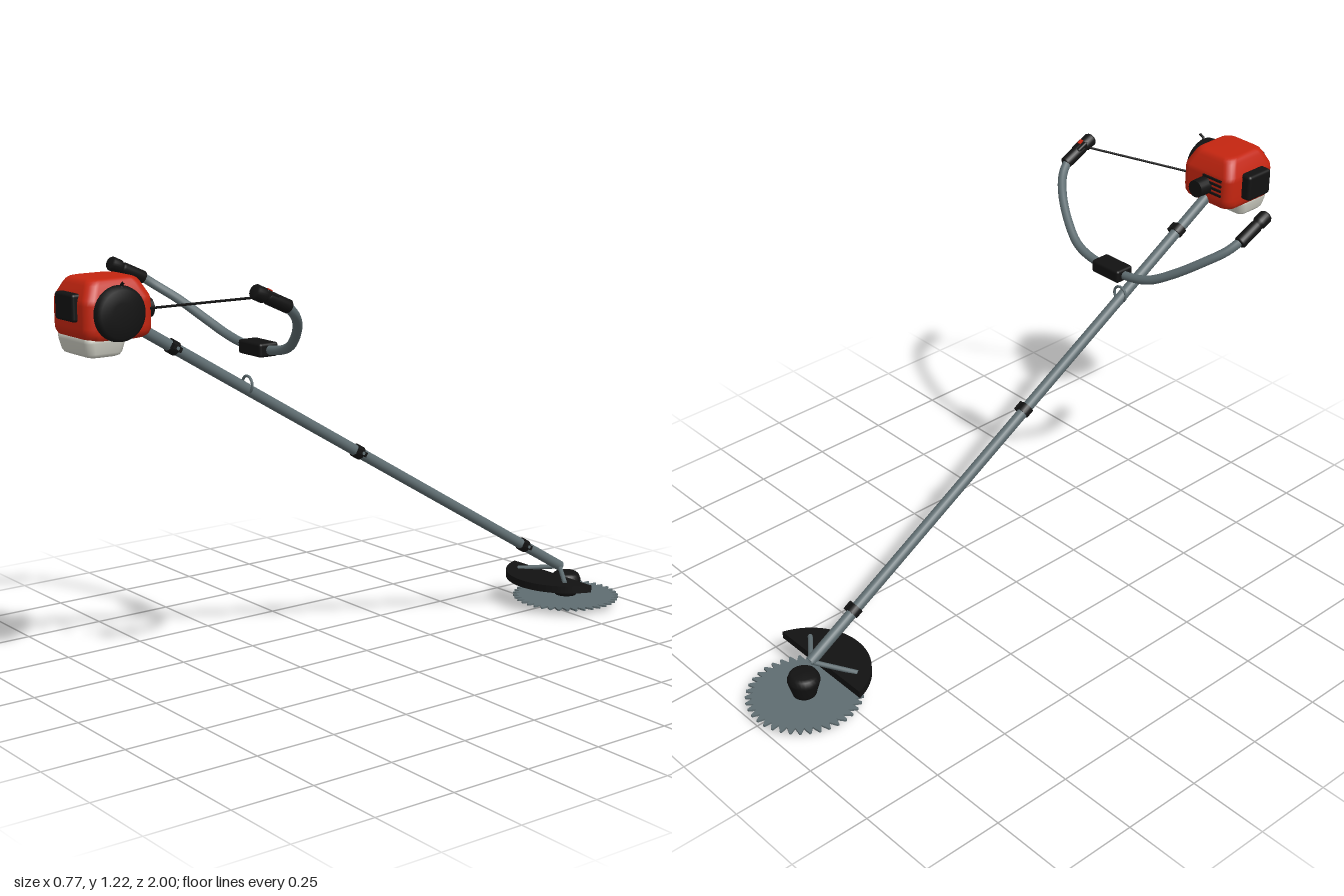
import * as THREE from 'three';
import { RoundedBoxGeometry } from 'three/addons/geometries/RoundedBoxGeometry.js';

const V = (x, y, z) => new THREE.Vector3(x, y, z);
const mat = (name, color) => new THREE.MeshStandardMaterial({ name, color });

export function createModel() {
  const red = mat('red', 0xc42510);
  const black = mat('black', 0x121212);
  const steel = mat('steel', 0x5f6d71);
  const tankWhite = mat('tank white', 0xcfcfc4);

  const model = new THREE.Group();
  model.name = 'brushCutter';

  const add = (name, geo, material, pos = [0, 0, 0], parent = model) => {
    const m = new THREE.Mesh(geo, material);
    m.name = name;
    m.position.set(...pos);
    parent.add(m);
    return m;
  };
  // Cylinder between two points
  const rod = (name, a, b, r, material, r2 = r, sides = 20) => {
    const d = b.clone().sub(a);
    const m = add(name, new THREE.CylinderGeometry(r2, r, d.length(), sides), material);
    m.position.copy(a).add(b).multiplyScalar(0.5);
    m.quaternion.setFromUnitVectors(V(0, 1, 0), d.normalize());
    return m;
  };
  const lathe = (pts, sides = 32) =>
    new THREE.LatheGeometry(pts.map(p => new THREE.Vector2(...p)), sides);
  const tube = (pts, r, n = 32) =>
    new THREE.TubeGeometry(new THREE.CatmullRomCurve3(pts), n, r, 12);

  // Closed loft of rounded rectangles; each ring is [y, halfX, halfZ, cornerRadius]
  const loft = rings => {
    const pos = [], idx = [], per = 24;
    for (const [y, hx, hz, r] of rings) {
      for (let c = 0; c < 4; c++) for (let k = 0; k < 6; k++) {
        const a = (c + k / 5) * Math.PI / 2;
        const sx = c === 0 || c === 3 ? 1 : -1, sz = c < 2 ? 1 : -1;
        pos.push(sx * (hx - r) + r * Math.cos(a), y, sz * (hz - r) + r * Math.sin(a));
      }
    }
    for (let i = 0; i < rings.length - 1; i++) for (let j = 0; j < per; j++) {
      const a = i * per + j, b = i * per + (j + 1) % per;
      idx.push(a, a + per, b, b, a + per, b + per);
    }
    const last = (rings.length - 1) * per, bot = pos.length / 3, top = bot + 1;
    pos.push(0, rings[0][0], 0, 0, rings[rings.length - 1][0], 0);
    for (let j = 0; j < per; j++) {
      const k = (j + 1) % per;
      idx.push(bot, j, k, top, last + k, last + j);
    }
    const g = new THREE.BufferGeometry();
    g.setAttribute('position', new THREE.Float32BufferAttribute(pos, 3));
    g.setIndex(idx);
    g.computeVertexNormals();
    return g;
  };

  // Main shaft
  const low = V(0, 0.126, -0.80), high = V(0, 1.085, 0.80);
  const onShaft = z => low.clone().lerp(high, (z - low.z) / (high.z - low.z));
  rod('shaft', low, high, 0.0165, steel);

  // Cable clips along the shaft, each with a side lug and screw
  for (const z of [0.67, 0.035, -0.635]) {
    rod('shaftClip', onShaft(z - 0.011), onShaft(z + 0.011), 0.0205, black);
    const p = onShaft(z);
    const lug = add('clipLug', new THREE.BoxGeometry(0.018, 0.014, 0.03), black, [0.021, p.y, z]);
    lug.rotation.x = -0.54;
    rod('clipScrew', V(0.028, p.y, z), V(0.032, p.y, z), 0.005, steel);
  }

  // Harness ring
  add('harnessRing', new THREE.TorusGeometry(0.024, 0.004, 8, 28), steel, [0, 0.875, 0.425]);

  // Engine cover with tapered shoulders
  add('engineCover', loft([
    [1.058, 0.078, 0.080, 0.03], [1.060, 0.084, 0.086, 0.03], [1.067, 0.093, 0.095, 0.03],
    [1.08, 0.098, 0.101, 0.03], [1.095, 0.099, 0.102, 0.03], [1.155, 0.099, 0.102, 0.03],
    [1.17, 0.097, 0.100, 0.03], [1.205, 0.080, 0.083, 0.03], [1.214, 0.074, 0.077, 0.03],
    [1.219, 0.068, 0.070, 0.03], [1.221, 0.06, 0.062, 0.03],
  ]), red, [-0.001, 0, 0.883]);

  // Fuel tank
  add('fuelTank', loft([
    [1.015, 0.068, 0.042, 0.02], [1.018, 0.074, 0.049, 0.02], [1.026, 0.079, 0.054, 0.02],
    [1.055, 0.086, 0.060, 0.02], [1.066, 0.086, 0.060, 0.02], [1.07, 0.08, 0.055, 0.02],
  ]), tankWhite, [-0.002, 0, 0.918]);

  // Front muffler plate and side air filter
  add('frontPlate', new RoundedBoxGeometry(0.096, 0.074, 0.03, 3, 0.008), black, [-0.002, 1.147, 0.984]);
  add('airFilter', new RoundedBoxGeometry(0.045, 0.082, 0.098, 3, 0.01), black, [-0.108, 1.133, 0.887]);

  // Recoil starter disc with ribs and pull lever
  const starter = add('starterCover', lathe([
    [0, 0], [0.072, 0], [0.075, 0.006], [0.073, 0.02], [0.064, 0.028], [0.03, 0.031], [0, 0.031],
  ]), black, [0.094, 1.132, 0.893]);
  starter.rotation.z = -Math.PI / 2;
  add('starterLever', tube([V(0.105, 1.17, 0.89), V(0.114, 1.195, 0.89),
    V(0.113, 1.208, 0.89), V(0.128, 1.217, 0.89)], 0.004, 16), black);

  // Shaft coupling and cooling slots at the rear
  rod('shaftCoupling', V(0, 1.123, 0.80), V(0, 1.123, 0.738), 0.029, black, 0.027);
  for (let i = 0; i < 4; i++)
    add('coolingSlot', new THREE.BoxGeometry(0.075, 0.007, 0.008), black, [-0.03, 1.108 + i * 0.016, 0.7805]);

  // Handlebar with central clamp
  const half = [[0.07, 0.977, 0.385], [0.15, 0.995, 0.392], [0.22, 1.033, 0.418],
    [0.295, 1.086, 0.462], [0.343, 1.125, 0.508], [0.361, 1.155, 0.55], [0.362, 1.175, 0.59]];
  const bar = [...half.map(([x, y, z]) => V(-x, y, z)).reverse(), ...half.map(p => V(...p))];
  add('handlebar', tube(bar, 0.0135, 80), steel);
  add('handlebarClamp', new RoundedBoxGeometry(0.11, 0.04, 0.064, 3, 0.008), black, [0, 0.976, 0.387]);

  // Grips with a flared end
  for (const s of [-1, 1]) {
    const x = 0.362 * s, a = V(x, 1.147, 0.535), b = V(x, 1.199, 0.648);
    const grip = add('grip', lathe([
      [0, 0], [0.015, 0], [0.019, 0.004], [0.019, 0.075], [0.017, 0.08], [0.017, 0.085],
      [0.021, 0.09], [0.021, 0.118], [0.017, 0.124], [0, 0.125],
    ], 24), black);
    grip.position.copy(a);
    grip.quaternion.setFromUnitVectors(V(0, 1, 0), b.sub(a).normalize());
  }

  // Throttle block, stop button and cable
  const block = add('throttleBlock', new RoundedBoxGeometry(0.034, 0.026, 0.045, 2, 0.006), black, [0.362, 1.182, 0.60]);
  block.rotation.x = -0.43;
  const button = add('stopButton', new THREE.BoxGeometry(0.012, 0.008, 0.016), red, [0.365, 1.197, 0.603]);
  button.rotation.x = -0.43;
  rod('throttleCable', V(0.075, 1.133, 0.80), V(0.358, 1.181, 0.615), 0.0035, black, 0.0035, 8);

  // Guard: a disc segment with a straight rear edge
  const R = 0.19, cut = Math.asin(0.053 / R);
  const seg = new THREE.Shape();
  seg.absarc(0, 0, R, Math.PI + cut, 2 * Math.PI - cut, false);
  seg.closePath();
  const guard = add('bladeGuard', new THREE.ExtrudeGeometry(seg,
    { depth: 0.023, bevelEnabled: false, curveSegments: 40 }), black, [0, 0.085, -0.82]);
  guard.rotation.x = -Math.PI / 2;
  for (const s of [-1, 1])
    rod('guardBracket', V(0.002 * s, 0.124, -0.798), V(0.112 * s, 0.107, -0.718), 0.0075, steel, 0.0075, 12);

  // Gear head
  const cz = -0.829;
  add('gearHead', lathe([[0, 0.026], [0.035, 0.026], [0.037, 0.034], [0.048, 0.072],
    [0.048, 0.080], [0.042, 0.094], [0.034, 0.100], [0, 0.101]], 24), black, [0, 0, cz]);

  // Saw blade with slanted teeth
  const teeth = 38, saw = new THREE.Shape();
  for (let i = 0; i < teeth; i++) {
    const at = (f, r) => {
      const a = (i + f) / teeth * Math.PI * 2;
      return [r * Math.cos(a), r * Math.sin(a)];
    };
    if (i === 0) saw.moveTo(...at(0, 0.15));
    else saw.lineTo(...at(0, 0.15));
    saw.lineTo(...at(0.55, 0.173));
    saw.lineTo(...at(0.75, 0.172));
  }
  saw.closePath();
  const blade = add('sawBlade', new THREE.ExtrudeGeometry(saw,
    { depth: 0.006, bevelEnabled: false }), steel, [0, 0.018, cz]);
  blade.rotation.x = -Math.PI / 2;

  // Blade hub and nut
  add('bladeHub', lathe([[0, 0.012], [0.032, 0.012], [0.032, 0.019], [0, 0.019]]), steel, [0, 0, cz]);
  add('bladeNut', new THREE.CylinderGeometry(0.021, 0.021, 0.013, 6), steel, [0, 0.0065, cz]);

  return model;
}
